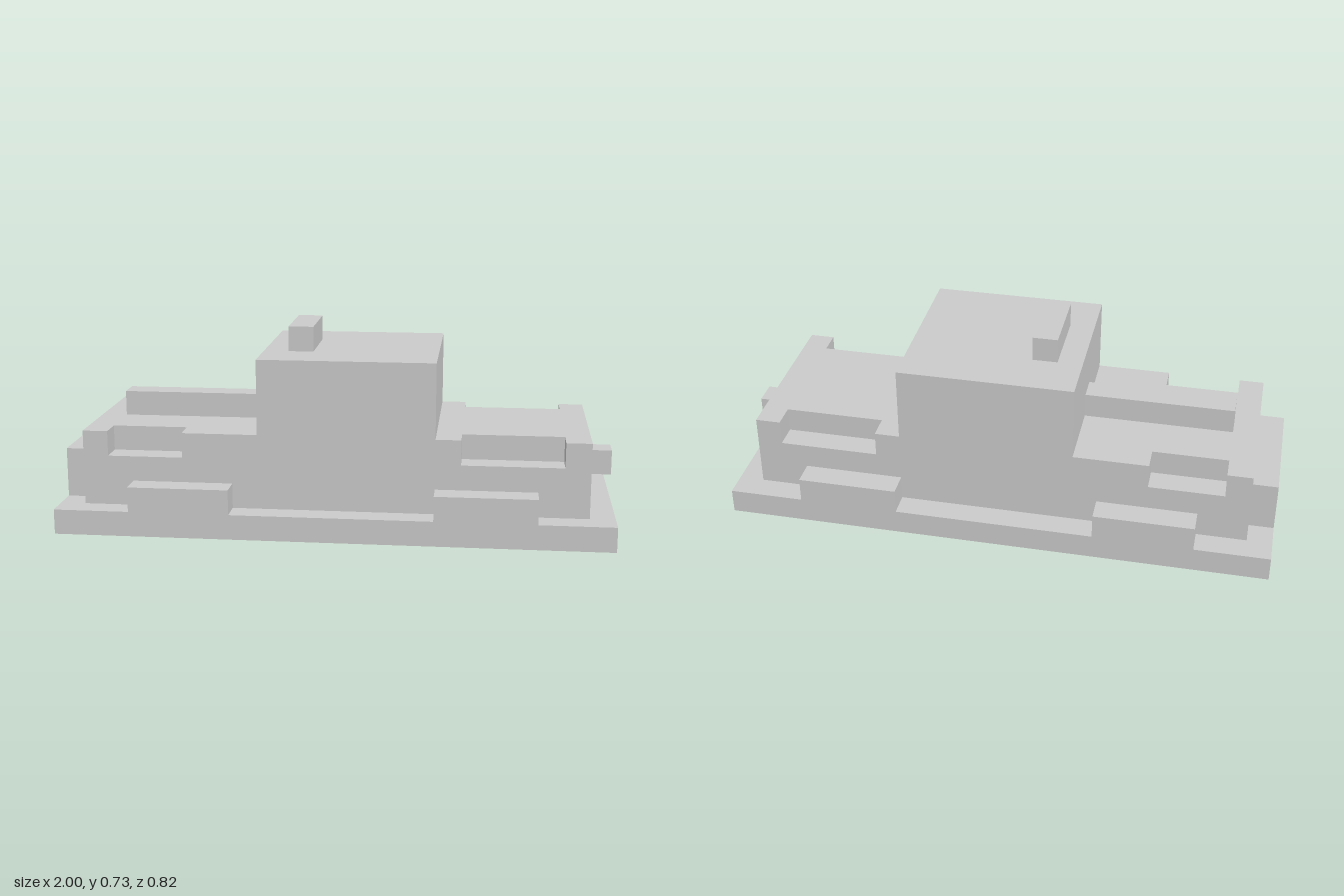
import * as THREE from 'three';

const U = 1 / 11; // every part sits on this grid step

export function createModel() {
  const model = new THREE.Group();
  const material = new THREE.MeshStandardMaterial({ color: 0xcccccc, flatShading: true });

  // Box from its lower and upper corners, in grid steps
  function block(name, [x0, y0, z0], [x1, y1, z1]) {
    const geometry = new THREE.BoxGeometry((x1 - x0) * U, (y1 - y0) * U, (z1 - z0) * U);
    const mesh = new THREE.Mesh(geometry, material);
    mesh.position.set((x0 + x1) / 2 * U, (y0 + y1) / 2 * U, (z0 + z1) / 2 * U);
    mesh.name = name;
    model.add(mesh);
  }

  // Base plate and lower hull
  block('basePlate', [-11, 0, -4.5], [11, 1, 4.5]);
  block('lowerHull', [-10, 1, -3.5], [10, 3, 3.5]);

  // Upper hull: plan outline with two notches along each long side
  const side = [[-10, 3.5], [-9, 3.5], [-9, 2.5], [-6, 2.5], [-6, 3.5],
    [5, 3.5], [5, 2.5], [9, 2.5], [9, 3.5], [10, 3.5]];
  const mirrored = side.map(([x, z]) => [x, -z]).reverse();
  const outline = [...side, ...mirrored].map(([x, z]) => new THREE.Vector2(x * U, z * U));
  const deck = new THREE.ExtrudeGeometry(new THREE.Shape(outline), { depth: U, bevelEnabled: false });
  deck.rotateX(-Math.PI / 2);
  const upperHull = new THREE.Mesh(deck, material);
  upperHull.position.y = 3 * U;
  upperHull.name = 'upperHull';
  model.add(upperHull);

  // Cabin with roof block, and the ridge leading to it
  block('cabin', [-3, 4, -3.5], [4, 7, 3.5]);
  block('roofBlock', [-2, 7, -1.5], [-1, 8, 1.5]);
  block('deckRidge', [-9, 4, -0.5], [-3, 5, 0.5]);

  // End plate and end stub
  block('endPlate', [-11, 1, -2.5], [-10, 3, 2.5]);
  block('endStub', [10, 2, -0.5], [11, 3, 0.5]);

  // Raised steps on both sides of the base
  for (const z of [-4.5, 3.5]) {
    for (const x of [-8, 4]) block('sideStep', [x, 1, z], [x + 4, 2, z + 1]);
  }

  return model;
}
